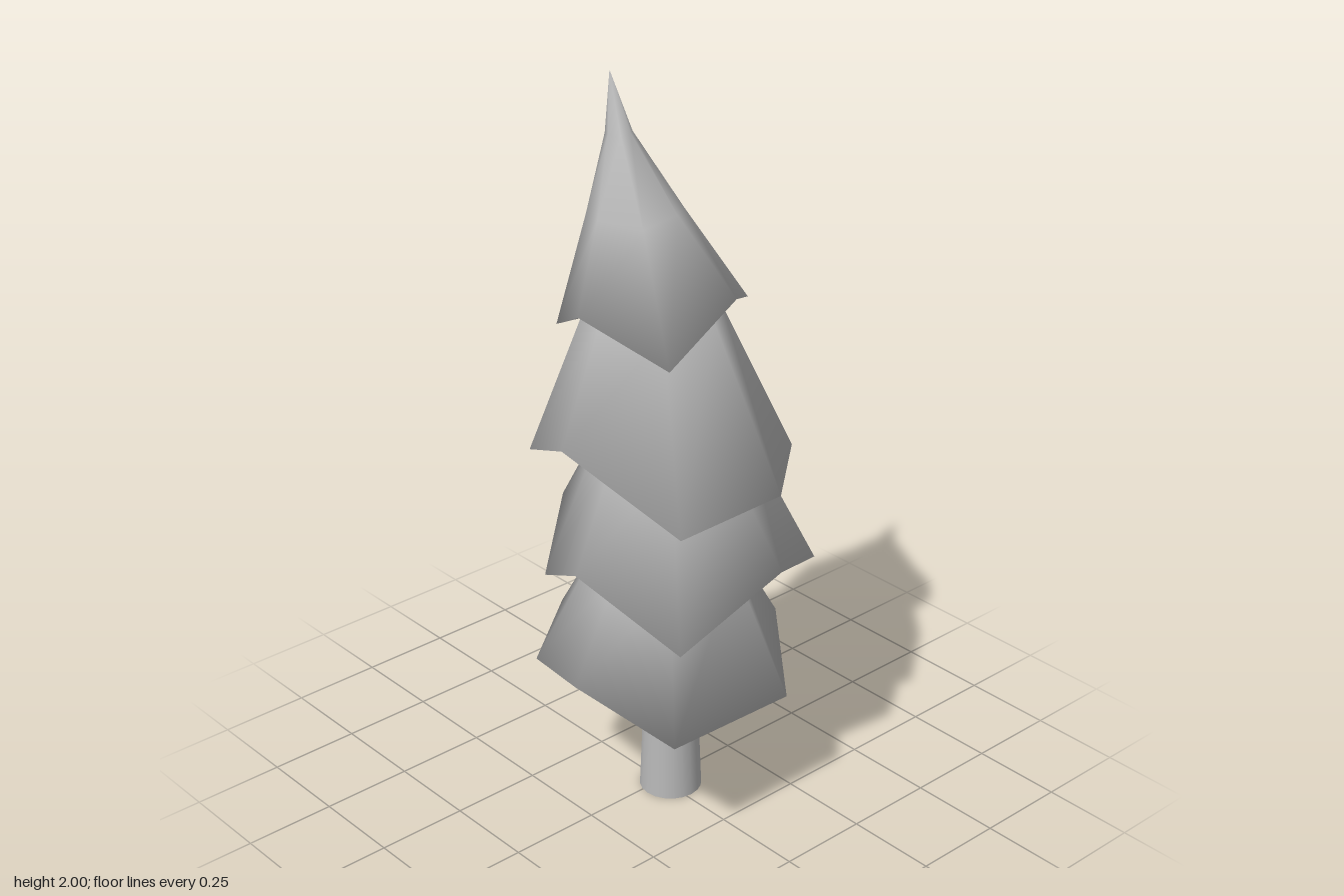
import * as THREE from 'three';
import { mergeVertices } from 'three/addons/utils/BufferGeometryUtils.js';

// Each tier: rim corners [x, y, z] running from the front towards +x and round,
// then rings going up as [y, centre x, centre z, scale of the rim outline], and the tip.
const TIERS = [
  {
    name: 'bottomBranches',
    rim: [[0.065, 0.475, 0.35], [0.325, 0.37, 0.245], [0.325, 0.36, -0.15], [0.12, 0.475, -0.305],
      [-0.13, 0.44, -0.345], [-0.37, 0.52, -0.18], [-0.325, 0.455, 0.07], [-0.18, 0.42, 0.28]],
    rings: [[0.73, 0, 0, 0.55], [0.9, 0, 0, 0.2]],
    tip: [0, 0.94, 0],
  },
  {
    name: 'lowerMiddleBranches',
    rim: [[0, 0.75, 0.29], [0.285, 0.6, 0.19], [0.37, 0.78, -0.075], [0.23, 0.67, -0.335],
      [-0.08, 0.65, -0.35], [-0.27, 0.81, -0.16], [-0.325, 0.78, 0.06], [-0.16, 0.675, 0.26]],
    rings: [[1.04, 0, -0.01, 0.55], [1.22, 0, 0, 0.2]],
    tip: [0, 1.26, 0],
  },
  {
    name: 'upperMiddleBranches',
    rim: [[-0.045, 1.085, 0.29], [0.23, 0.89, 0.14], [0.33, 0.97, -0.105], [0.185, 1.0, -0.285],
      [-0.135, 0.99, -0.31], [-0.265, 0.97, -0.165], [-0.31, 1.05, 0.1], [-0.21, 1.02, 0.26]],
    rings: [[1.4, -0.028, 0.01, 0.51], [1.52, -0.035, 0.01, 0.2]],
    tip: [-0.035, 1.56, 0.01],
  },
  {
    name: 'topBranches',
    rim: [[-0.035, 1.435, 0.24], [0.165, 1.32, 0.12], [0.165, 1.45, -0.1], [0.085, 1.4, -0.215],
      [-0.045, 1.365, -0.24], [-0.22, 1.41, -0.18], [-0.265, 1.34, -0.06], [-0.19, 1.35, 0.18]],
    rings: [[1.65, -0.06, 0.02, 0.5], [1.85, -0.09, 0.053, 0.14]],
    tip: [-0.115, 2, 0.062],
  },
];

// Closed, smooth skirt: nearly flat underside, irregular rim, then rings to a point
function skirtGeometry(rim, rings, tip) {
  const n = rim.length;
  const mid = [0, 1, 2].map((k) => rim.reduce((sum, p) => sum + p[k], 0) / n);
  const shrunk = ([y, cx, cz, s]) => rim.map((p) => [
    cx + (p[0] - mid[0]) * s,
    y + (p[1] - mid[1]) * s * 0.2,
    cz + (p[2] - mid[2]) * s,
  ]);
  const points = [...[rim, ...rings.map(shrunk)].flat(), [mid[0], mid[1] + 0.02, mid[2]], tip];
  const bottom = points.length - 2;
  const top = points.length - 1;

  const index = [];
  for (let j = 0; j < n; j++) {
    const k = (j + 1) % n;
    index.push(bottom, k, j);
    for (let i = 0; i < rings.length; i++) {
      const a = i * n + j;
      const b = i * n + k;
      index.push(a, b, b + n, a, b + n, a + n);
    }
    index.push(rings.length * n + j, rings.length * n + k, top);
  }
  const geometry = new THREE.BufferGeometry();
  geometry.setAttribute('position', new THREE.Float32BufferAttribute(points.flat(), 3));
  geometry.setIndex(index);
  const merged = mergeVertices(geometry, 1e-5);
  merged.computeVertexNormals();
  return merged;
}

export function createModel() {
  const tree = new THREE.Group();
  tree.name = 'firTree';
  const grey = new THREE.MeshStandardMaterial({ color: 0xb8b8b8 });
  grey.name = 'plainGrey';

  // Tapered trunk
  const trunk = new THREE.Mesh(new THREE.CylinderGeometry(0.06, 0.084, 0.6, 20), grey);
  trunk.position.set(0.022, 0.3, -0.015);
  trunk.name = 'trunk';
  tree.add(trunk);

  // Stacked skirts of branches
  for (const { name, rim, rings, tip } of TIERS) {
    const branches = new THREE.Mesh(skirtGeometry(rim, rings, tip), grey);
    branches.name = name;
    tree.add(branches);
  }
  return tree;
}
